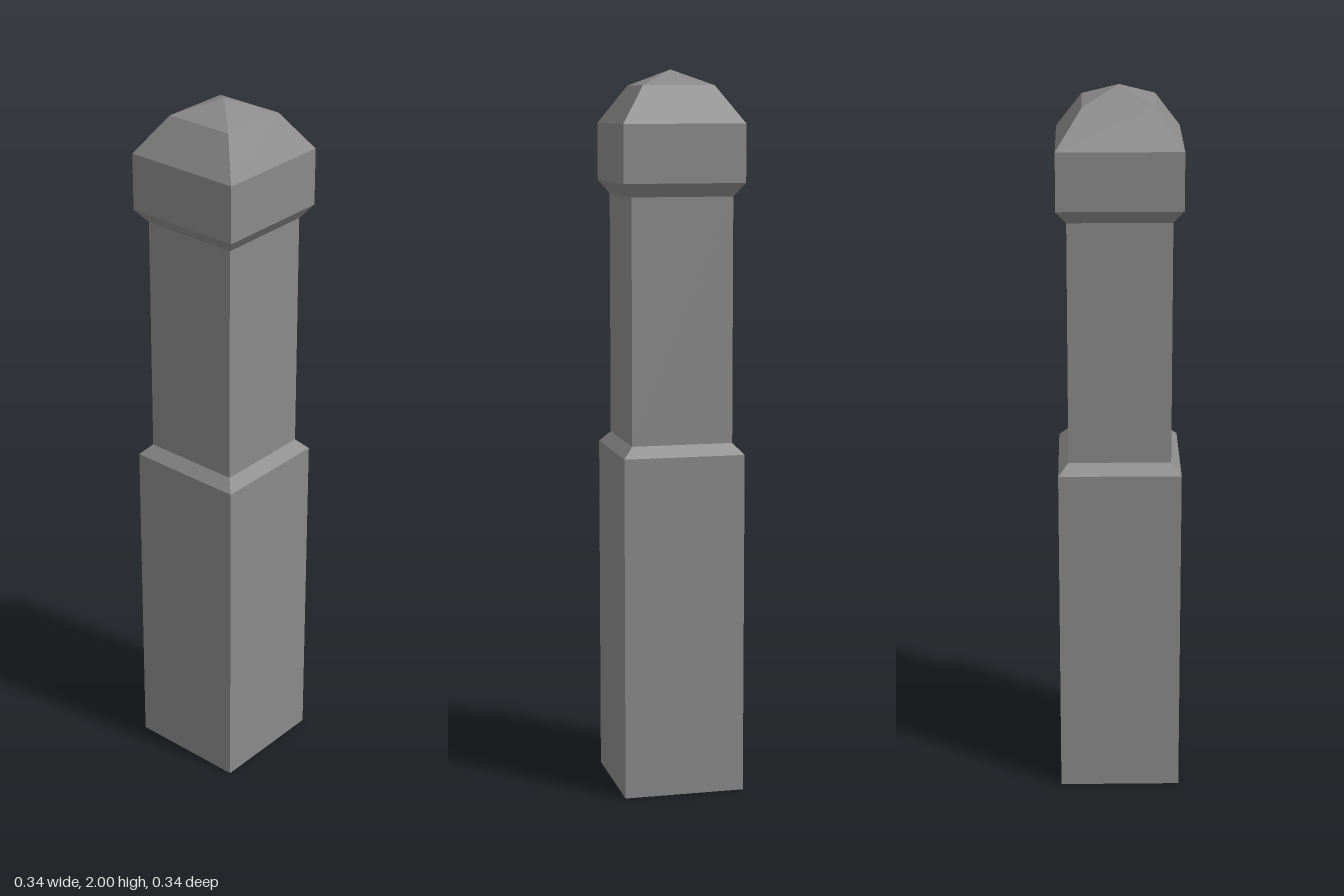
import * as THREE from 'three';

// Square frustum between two heights, given half-widths at bottom and top
function section(name, y0, half0, y1, half1, material, open = true) {
  const r = Math.SQRT2;
  const geometry = new THREE.CylinderGeometry(half1 * r, half0 * r, y1 - y0, 4, 1, open, Math.PI / 4)
    .toNonIndexed();
  geometry.computeVertexNormals(); // crisp flat faces
  geometry.translate(0, (y0 + y1) / 2, 0);
  const mesh = new THREE.Mesh(geometry, material);
  mesh.name = name;
  return mesh;
}

export function createModel() {
  const stone = new THREE.MeshStandardMaterial({ color: 0x8a8a8a });
  stone.name = 'grey stone';

  const wide = 0.169, narrow = 0.141;
  const post = new THREE.Group();
  post.name = 'post';
  post.add(
    // Wide foot with a bevelled shoulder
    section('base', 0, wide, 0.955, wide, stone, false),
    section('shoulder', 0.955, wide, 0.985, narrow, stone),
    // Slimmer upper shaft
    section('shaft', 0.985, narrow, 1.66, narrow, stone),
    // Flared head with a two-slope pyramid cap
    section('headFlare', 1.66, narrow, 1.697, wide, stone),
    section('head', 1.697, wide, 1.855, wide, stone),
    section('capSlope', 1.855, wide, 1.957, 0.099, stone),
    section('capPeak', 1.957, 0.099, 2, 0, stone),
  );
  return post;
}
